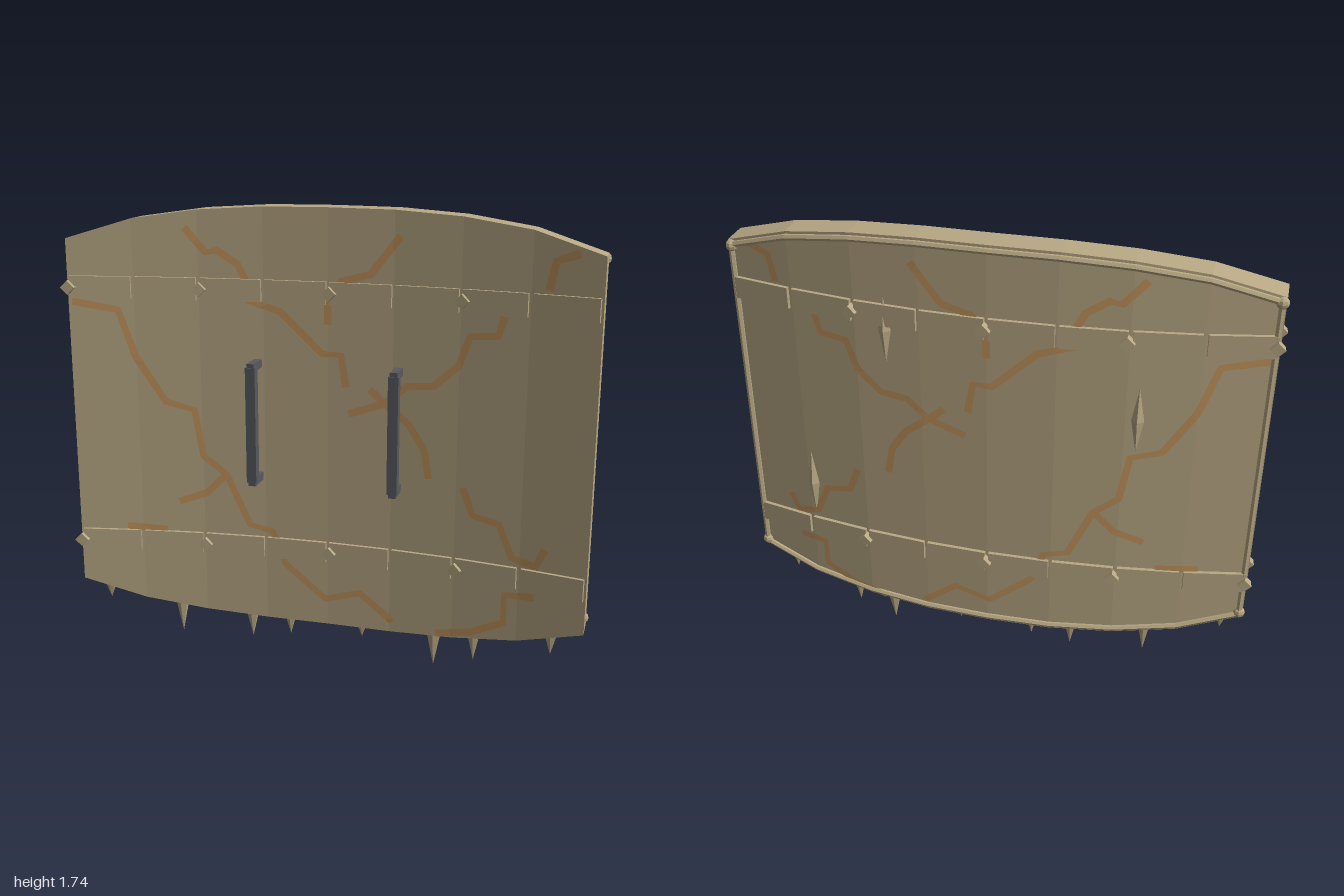
import * as THREE from 'three';

const tan = new THREE.MeshStandardMaterial({ color: 0xb8a884, flatShading: true });
tan.name = 'sandstone tan';
const orange = new THREE.MeshStandardMaterial({ color: 0xc4965e, side: THREE.DoubleSide });
orange.name = 'crack orange';
const grey = new THREE.MeshStandardMaterial({ color: 0x58595e, flatShading: true });
grey.name = 'dark iron';

const HALF = 0.986, STEP = HALF / 4, THICK = 0.107;
const TOP = [1.752, 1.75, 1.735, 1.7, 1.625];
const BOTTOM = [0.143, 0.145, 0.16, 0.195, 0.27];
const DEPTH = [0, 1, 2, 3, 4].map(i => -0.113 + 0.113 * (i / 4) ** 2);

// Value of a symmetric, faceted profile at x
function sample(table, x) {
  const t = Math.min(Math.abs(x) / STEP, 4), i = Math.min(Math.floor(t), 3);
  return table[i] + (table[i + 1] - table[i]) * (t - i);
}
const backZ = x => sample(DEPTH, x);
const faceZ = (x, side) => backZ(x) + (side > 0 ? THICK : 0);
const turn = x => -Math.atan2(backZ(x + 0.05) - backZ(x - 0.05), 0.1);

function quad(out, a, b, c, d) {
  out.push(...a, ...b, ...c, ...a, ...c, ...d);
}
function fromTriangles(points) {
  const g = new THREE.BufferGeometry();
  g.setAttribute('position', new THREE.Float32BufferAttribute(points, 3));
  g.computeVertexNormals();
  return g;
}

// Bowed slab built from nine upright cross-sections
function slabGeometry() {
  const out = [], rows = [];
  for (let i = -4; i <= 4; i++) {
    const x = i * STEP, k = Math.abs(i), b = DEPTH[k], f = b + THICK;
    rows.push([[x, BOTTOM[k], f], [x, TOP[k], f], [x, TOP[k], b], [x, BOTTOM[k], b]]);
  }
  for (let i = 0; i < 8; i++) {
    for (let j = 0; j < 4; j++) {
      const n = (j + 1) % 4;
      quad(out, rows[i][j], rows[i + 1][j], rows[i + 1][n], rows[i][n]);
    }
  }
  quad(out, ...rows[0]);
  quad(out, ...rows[8].slice().reverse());
  return fromTriangles(out);
}

// Crack paths as x, y pairs in hundredths
const CRACKS = [
  [[-97, 139], [-80, 136], [-74, 118], [-63, 101], [-52, 98], [-49, 80], [-40, 73], [-31, 53],
    [-22, 51], [-17, 38], [-1, 25], [13, 29], [26, 19]],
  [[-40, 73], [-48, 65], [-59, 61]],
  [[-80, 50], [-64, 49]],
  [[-54, 167], [-46, 158], [-42, 159], [-34, 154], [-31, 148], [-31, 141], [-18, 137], [-2, 122], [5, 122], [7, 110]],
  [[27, 166], [16, 152], [5, 149], [0, 141], [0, 133]],
  [[65, 140], [63, 133], [53, 132], [49, 121], [40, 113], [30, 112], [22, 105], [8, 100]],
  [[16, 110], [23, 104], [31, 98], [37, 89], [39, 78]],
  [[52, 76], [56, 66], [66, 64], [71, 52], [80, 50], [83, 57]],
  [[80, 38], [69, 37], [69, 26], [57, 20], [43, 17]],
  [[80, 150], [82, 160], [90, 163]],
];

// Thin ribbons following the slab face
function crackGeometry(side) {
  const out = [], w = 0.014;
  for (const path of CRACKS) {
    const pts = path.map(([x, y]) => new THREE.Vector2(x / 100, y / 100));
    const normals = pts.map((p, i) => {
      const a = pts[Math.max(i - 1, 0)], b = pts[Math.min(i + 1, pts.length - 1)];
      const d = b.clone().sub(a).normalize();
      return new THREE.Vector2(-d.y, d.x);
    });
    for (let i = 0; i < pts.length - 1; i++) {
      const n = Math.ceil(pts[i].distanceTo(pts[i + 1]) / 0.03);
      const edge = (t, s) => {
        const p = pts[i].clone().lerp(pts[i + 1], t);
        p.addScaledVector(normals[i].clone().lerp(normals[i + 1], t).normalize(), s * w);
        return [p.x, p.y, faceZ(p.x, side) + side * 0.005];
      };
      for (let k = 0; k < n; k++) {
        const a = k / n, b = (k + 1) / n;
        const q = [edge(a, -1), edge(b, -1), edge(b, 1), edge(a, 1)];
        quad(out, ...(side > 0 ? q : q.reverse()));
      }
    }
  }
  return fromTriangles(out);
}

export function createModel() {
  const model = new THREE.Group();
  model.name = 'bowedSlabDoor';
  const add = (name, geometry, material, x = 0, y = 0, z = 0, parent = model) => {
    const m = new THREE.Mesh(geometry, material);
    m.name = name;
    m.position.set(x, y, z);
    parent.add(m);
    return m;
  };

  add('slab', slabGeometry(), tan);
  add('frontCracks', crackGeometry(1), orange);
  add('backCracks', crackGeometry(-1), orange);

  // Plated straps and diamond studs on both faces
  const plate = new THREE.BoxGeometry(0.233, 0.083, 0.022);
  const stud = new THREE.BoxGeometry(0.038, 0.038, 0.036).rotateZ(Math.PI / 4);
  for (const side of [1, -1]) {
    for (const y of [0.443, 1.445]) {
      for (let i = 0; i < 8; i++) {
        const x = (i - 3.5) * STEP;
        add('strapPlate', plate, tan, x, y, faceZ(x, side) + side * 0.003).rotation.y = turn(x);
      }
      for (const x of [-0.976, -0.485, 0.008, 0.5]) {
        add('stud', stud, tan, x, y, faceZ(x, side) + side * 0.014).rotation.y = turn(x);
      }
    }
  }

  // Raised rim around the back face
  const rimX = 0.972;
  for (const [table, dy] of [[TOP, -0.02], [BOTTOM, 0.02]]) {
    const path = new THREE.CurvePath();
    const pts = [];
    for (let i = -4; i <= 4; i++) {
      const x = THREE.MathUtils.clamp(i * STEP, -rimX, rimX);
      pts.push(new THREE.Vector3(x, sample(table, x) + dy, backZ(x) - 0.003));
    }
    for (let i = 0; i < 8; i++) path.add(new THREE.LineCurve3(pts[i], pts[i + 1]));
    add('rimRail', new THREE.TubeGeometry(path, 32, 0.012, 6), tan);
  }
  for (const x of [-rimX, rimX]) {
    add('rimPost', new THREE.CylinderGeometry(0.012, 0.012, 1.31, 6), tan, x, 0.947, backZ(x) - 0.003);
    for (const y of [0.292, 1.605]) {
      add('rimKnob', new THREE.SphereGeometry(0.023, 8, 6), tan, x, y, backZ(x));
    }
  }

  // Spikes along the lower edge: x, tip height, radius
  const spikes = [[-0.905, 0.17, 0.034], [-0.615, 0.035, 0.031], [-0.325, 0.035, 0.031], [-0.168, 0.06, 0.028],
    [0.125, 0.083, 0.028], [0.415, 0.01, 0.034], [0.572, 0.06, 0.03], [0.865, 0.143, 0.032]];
  for (const [x, tip, r] of spikes) {
    const h = sample(BOTTOM, x) + 0.015 - tip;
    add('lowerSpike', new THREE.ConeGeometry(r, h, 6).rotateX(Math.PI), tan, x, tip + h / 2, backZ(x) + THICK / 2);
  }

  // Pointed shards standing out of the back
  for (const [x, y, h] of [[0.375, 1.385, 0.26], [0.72, 0.65, 0.29], [-0.537, 1.135, 0.26]]) {
    add('backShard', new THREE.OctahedronGeometry(1).scale(0.023, h / 2, 0.02), tan, x, y, backZ(x) - 0.003);
  }

  // Pair of pull handles on the front
  for (const x of [-0.27, 0.27]) {
    const handle = new THREE.Group();
    handle.name = 'handle';
    model.add(handle);
    add('handleBar', new THREE.BoxGeometry(0.038, 0.44, 0.034), grey, x, 0.952, 0.082, handle);
    for (const y of [0.732, 1.172]) {
      add('handleArm', new THREE.BoxGeometry(0.028, 0.03, 0.11), grey, x, y, 0.04, handle);
    }
  }
  return model;
}
